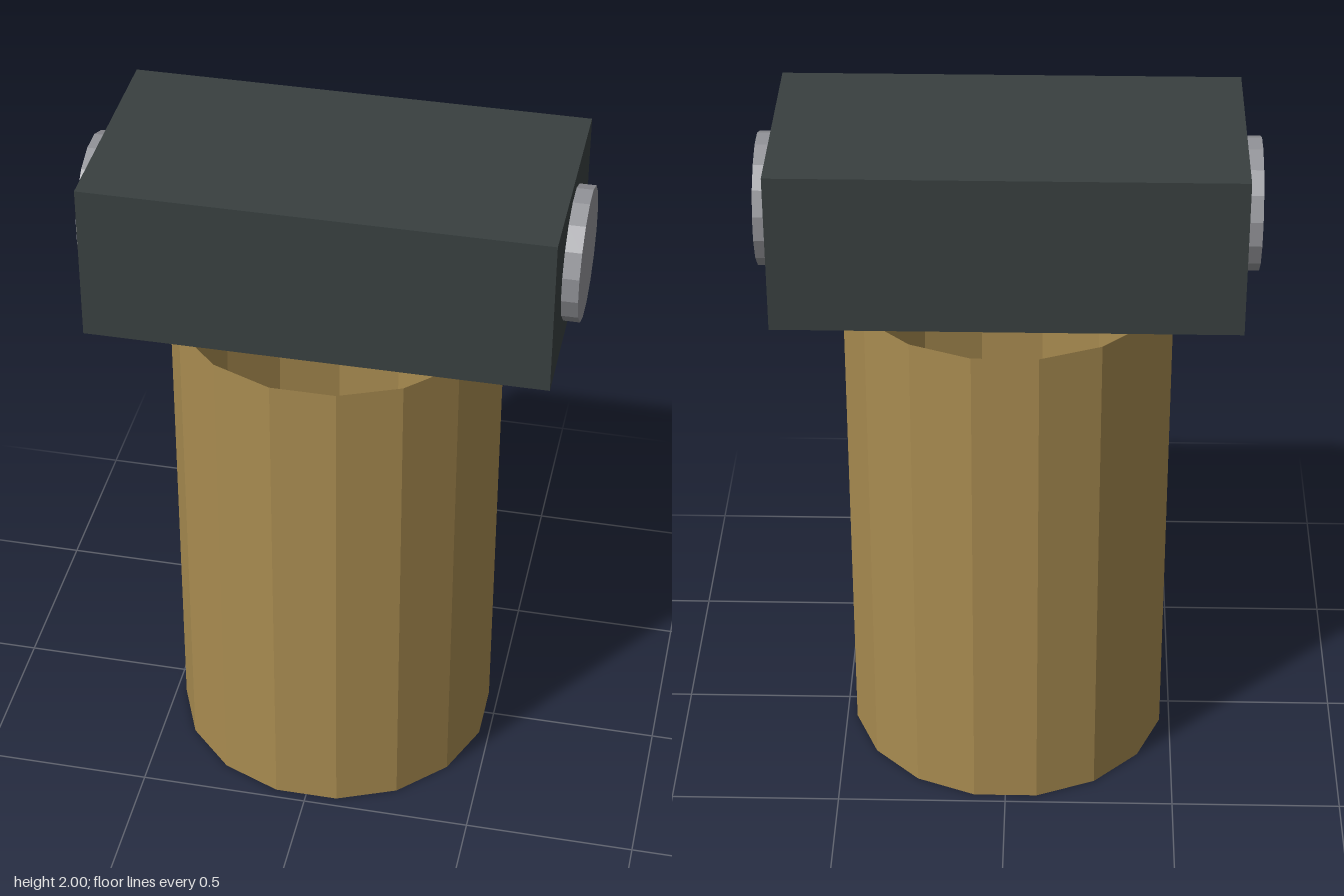
import * as THREE from 'three';

const material = (name, color, extra = {}) =>
  Object.assign(new THREE.MeshStandardMaterial({ color, flatShading: true, ...extra }), { name });

export function createModel() {
  const group = new THREE.Group();
  const brass = material('brass', 0xa88b50, { side: THREE.DoubleSide });
  const darkMetal = material('dark metal', 0x394040);
  const grey = material('grey metal', 0x929398);

  const SIDES = 16;
  const HALF_FACET = Math.PI / SIDES; // turns a flat facet to the front

  const add = (name, geometry, mat, x, y) => {
    const mesh = new THREE.Mesh(geometry, mat);
    mesh.name = name;
    mesh.position.set(x, y, 0);
    group.add(mesh);
    return mesh;
  };

  // Thin-walled tube, open at both ends
  add('tube', new THREE.CylinderGeometry(0.479, 0.479, 1.53, SIDES, 1, true, HALF_FACET), brass, 0, 0.765);

  // Crosswise block on top
  add('headBlock', new THREE.BoxGeometry(1.316, 0.47, 0.656), darkMetal, 0, 1.765);

  // Round cap on each end of the block
  const cap = new THREE.CylinderGeometry(0.19, 0.19, 0.05, SIDES, 1, false, HALF_FACET);
  cap.rotateZ(Math.PI / 2);
  for (const side of [1, -1]) {
    add(side > 0 ? 'leftCap' : 'rightCap', cap, grey, side * 0.68, 1.768);
  }
  return group;
}
